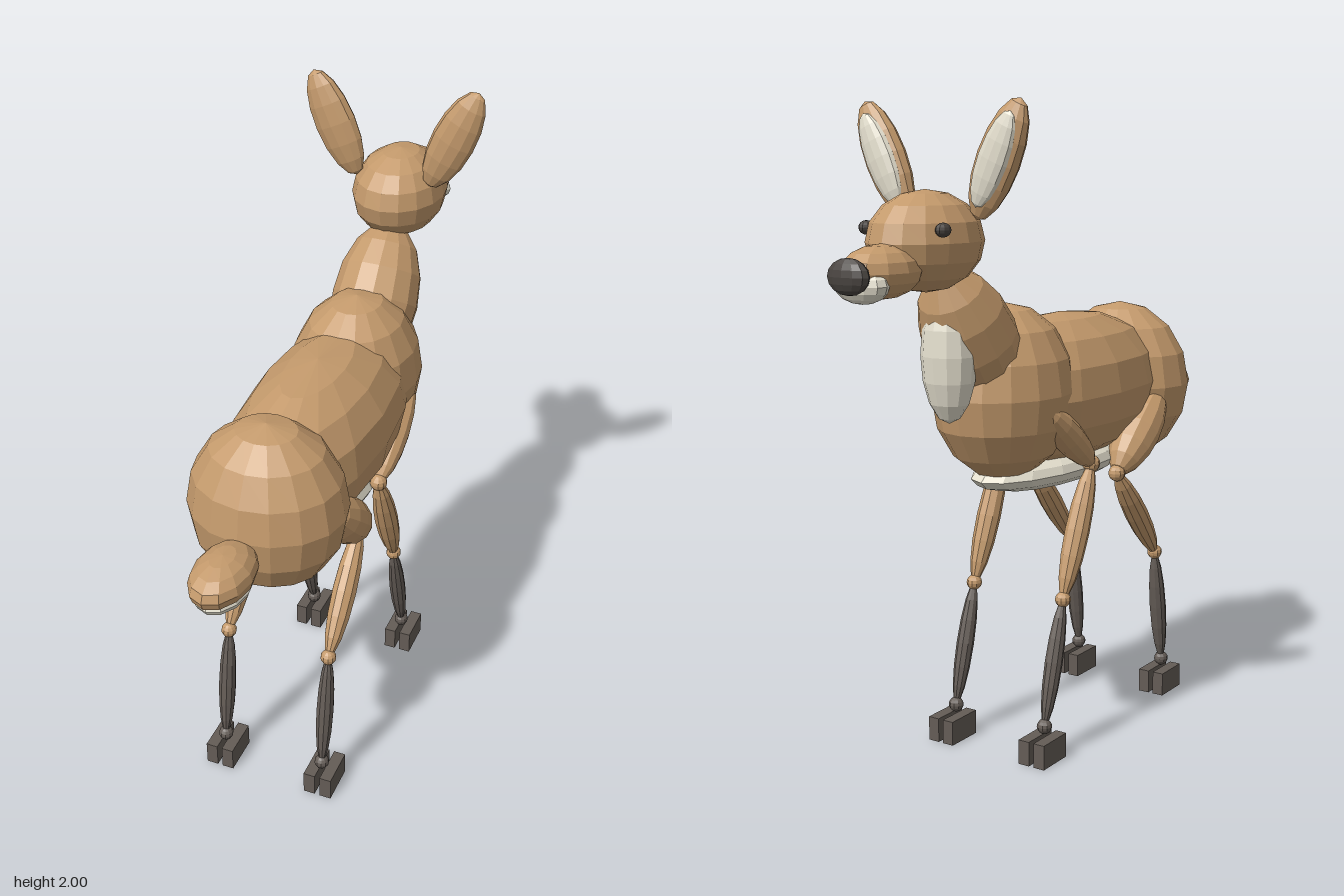
import * as THREE from 'three';

const flat = (name, color) => {
  const m = new THREE.MeshStandardMaterial({ color, flatShading: true });
  m.name = name;
  return m;
};

export function createModel() {
  const fur = flat('tan fur', 0xc49a6c);
  const cream = flat('cream fur', 0xe4dfce);
  const dark = flat('dark leg', 0x645c56);
  const black = flat('nose and eye', 0x4a4541);

  const model = new THREE.Group();
  model.name = 'deer';

  // Low-poly ellipsoid with its poles along local y
  function blob(parent, name, mat, pos, radii, seg = 16, rot = [0, 0, 0]) {
    const geo = new THREE.SphereGeometry(1, seg, 8);
    geo.scale(...radii);
    const mesh = new THREE.Mesh(geo, mat);
    mesh.name = name;
    mesh.position.set(...pos);
    mesh.rotation.set(...rot);
    parent.add(mesh);
    return mesh;
  }

  // Spindle between two [y, z] points
  function bone(parent, name, mat, x, a, b, r, seg = 10) {
    const dy = a[0] - b[0], dz = a[1] - b[1];
    const mid = [x, (a[0] + b[0]) / 2, (a[1] + b[1]) / 2];
    return blob(parent, name, mat, mid, [r, Math.hypot(dy, dz) / 2, r], seg, [Math.atan2(dz, dy), 0, 0]);
  }

  // Torso
  blob(model, 'rump', fur, [0, 1.083, 0.497], [0.242, 0.272, 0.213]);
  blob(model, 'barrel', fur, [0, 1.11, 0.12], [0.228, 0.245, 0.54]);
  blob(model, 'shoulders', fur, [0, 1.138, -0.2], [0.208, 0.272, 0.248]);
  blob(model, 'belly', cream, [0, 0.873, 0.06], [0.155, 0.065, 0.385]);
  blob(model, 'neck', fur, [0, 1.31, -0.365], [0.142, 0.258, 0.142], 14, [-0.61, 0, 0]);
  blob(model, 'bib', cream, [0, 1.28, -0.48], [0.085, 0.2, 0.077], 12);

  // Tail
  blob(model, 'tail', fur, [0, 1.043, 0.8], [0.088, 0.067, 0.14], 12);
  blob(model, 'tailUnderside', cream, [0, 1.0, 0.8], [0.076, 0.042, 0.118], 12);

  // Head
  blob(model, 'head', fur, [0, 1.612, -0.58], [0.15, 0.143, 0.193]);
  blob(model, 'muzzle', fur, [0, 1.54, -0.775], [0.095, 0.075, 0.14], 12);
  blob(model, 'chin', cream, [0, 1.508, -0.857], [0.086, 0.05, 0.05], 12);
  blob(model, 'nose', black, [0, 1.535, -0.91], [0.07, 0.05, 0.03], 12);

  for (const s of [1, -1]) {
    const side = s > 0 ? 'left' : 'right';
    blob(model, side + 'Eye', black, [s * 0.133, 1.65, -0.675], [0.02, 0.02, 0.026], 10);
    blob(model, side + 'Ear', fur, [s * 0.196, 1.835, -0.505], [0.07, 0.18, 0.042], 12, [0, 0, -s * 0.43]);
    blob(model, side + 'InnerEar', cream, [s * 0.196, 1.835, -0.533], [0.05, 0.142, 0.022], 12, [0, 0, -s * 0.43]);

    // Legs: [y, z] of the upper end, elbow or knee, hock and ankle
    const x = s * 0.17;
    const legs = [
      ['Hind', [1.07, 0.46], [0.83, 0.195], [0.505, 0.457], [0.105, 0.515], 0.5, 0.076],
      ['Front', [1.11, -0.245], [0.89, 0.035], [0.487, -0.13], [0.105, -0.235], -0.251, 0.05],
    ];
    for (const [end, top, knee, hock, ankle, hoofZ, r] of legs) {
      const leg = new THREE.Group();
      leg.name = side + end + 'Leg';
      model.add(leg);
      bone(leg, 'upperLeg', fur, x, top, knee, r, 12);
      blob(leg, 'knee', fur, [x, ...knee], [0.028, 0.028, 0.028], 10);
      bone(leg, 'middleLeg', fur, x, knee, hock, 0.039);
      blob(leg, 'hock', fur, [x, ...hock], [0.025, 0.025, 0.025], 10);
      bone(leg, 'lowerLeg', dark, x, hock, ankle, 0.028);
      blob(leg, 'ankle', dark, [x, ...ankle], [0.024, 0.024, 0.024], 10);
      // Cloven hoof
      for (const t of [1, -1]) {
        const toe = new THREE.Mesh(new THREE.BoxGeometry(0.038, 0.078, 0.127), dark);
        toe.name = 'hoofToe';
        toe.position.set(x + s * 0.003 + t * 0.0275, 0.039, hoofZ);
        leg.add(toe);
      }
    }
  }
  return model;
}
